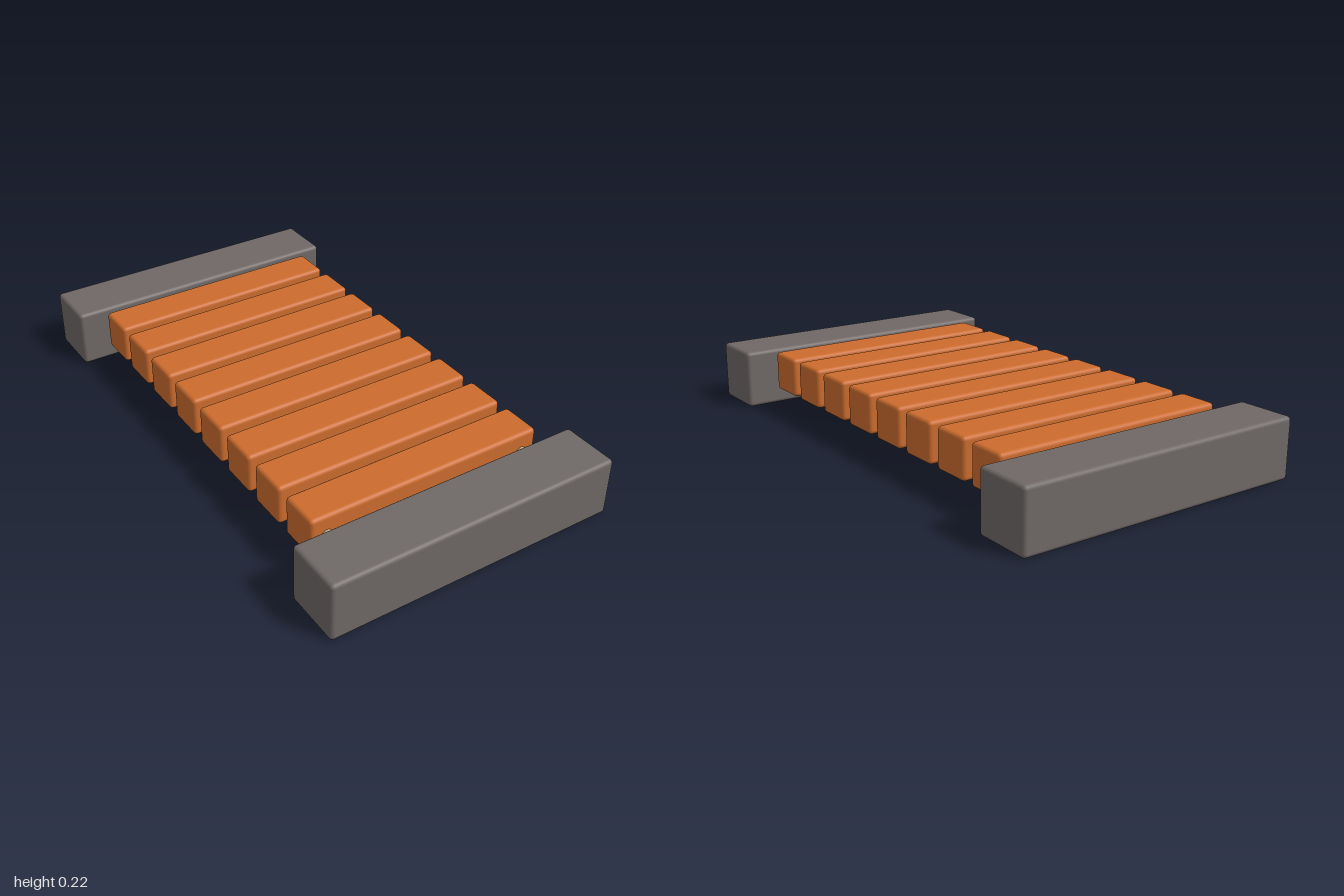
import * as THREE from 'three';
import { RoundedBoxGeometry } from 'three/addons/geometries/RoundedBoxGeometry.js';

export function createModel() {
  const group = new THREE.Group();
  const stone = new THREE.MeshStandardMaterial({ color: 0x6f6866 });
  const wood = new THREE.MeshStandardMaterial({ color: 0xcc6c2e });
  const rope = new THREE.MeshStandardMaterial({ color: 0xc4ae82 });

  const add = (name, geometry, material, x, y, z) => {
    const mesh = new THREE.Mesh(geometry, material);
    mesh.name = name;
    mesh.position.set(x, y, z);
    group.add(mesh);
    return mesh;
  };

  // Stone abutments at both ends
  const abutment = new RoundedBoxGeometry(1.106, 0.222, 0.218, 3, 0.015);
  add('frontAbutment', abutment, stone, 0, 0.111, 0.891);
  add('backAbutment', abutment, stone, 0, 0.111, -0.891);

  // Evenly spaced deck planks
  const plank = new RoundedBoxGeometry(0.906, 0.15, 0.151, 3, 0.015);
  for (let i = 0; i < 8; i++) {
    add(`plank${i + 1}`, plank, wood, 0, 0.149, 0.657 - i * 0.1903);
  }

  // Ropes running through the planks from abutment to abutment
  const cord = new THREE.CylinderGeometry(0.02, 0.02, 1.62, 12).rotateX(Math.PI / 2);
  add('leftRope', cord, rope, 0.393, 0.15, 0);
  add('rightRope', cord, rope, -0.393, 0.15, 0);

  return group;
}
